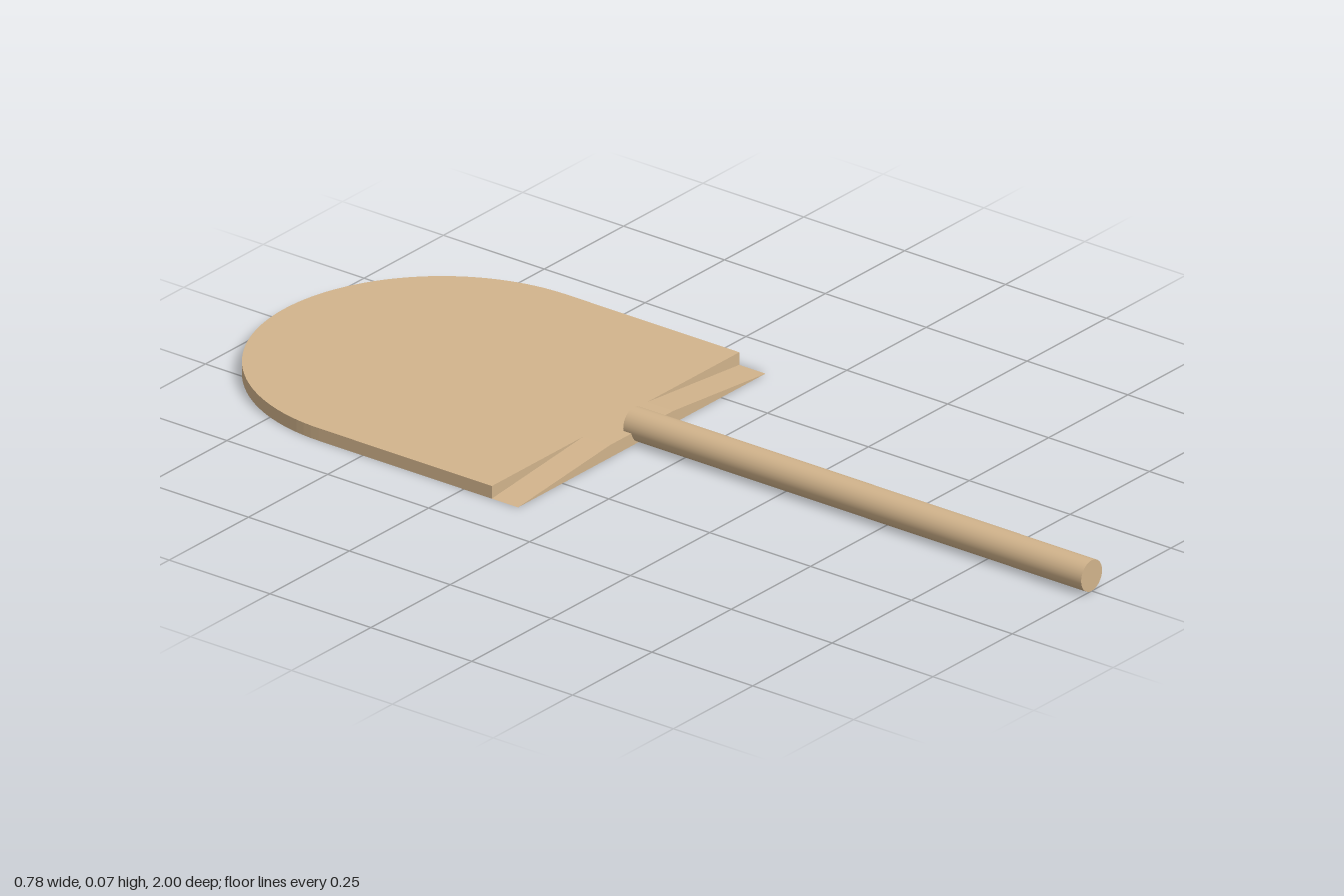
import * as THREE from 'three';

const HALF = 0.39, THICK = 0.027, FRONT = -0.115, STEP = -0.18, ARC = -0.61;
const HANDLE_R = 0.033, HANDLE_END = -0.135;

export function createModel() {
  const group = new THREE.Group();
  const wood = new THREE.MeshStandardMaterial({ color: 0xd2b48c });
  wood.name = 'wood';

  const add = (name, geometry) => {
    const mesh = new THREE.Mesh(geometry, wood);
    mesh.name = name;
    group.add(mesh);
    return mesh;
  };

  // Flat blade with a round far end; shape y becomes -z once laid down
  const outline = new THREE.Shape();
  outline.moveTo(-HALF, -STEP);
  outline.lineTo(HALF, -STEP);
  outline.lineTo(HALF, -ARC);
  outline.absarc(0, -ARC, HALF, 0, Math.PI, false);
  outline.closePath();
  const blade = new THREE.ExtrudeGeometry(outline, { depth: THICK, bevelEnabled: false, curveSegments: 32 });
  blade.rotateX(-Math.PI / 2);
  add('blade', blade);

  // Shoulder strip that slopes down to both sides
  const slope = new THREE.Shape([
    new THREE.Vector2(-HALF, 0),
    new THREE.Vector2(HALF, 0),
    new THREE.Vector2(0.1, THICK),
    new THREE.Vector2(-0.1, THICK),
  ]);
  const shoulder = new THREE.ExtrudeGeometry(slope, { depth: FRONT - STEP, bevelEnabled: false });
  shoulder.translate(0, 0, STEP);
  add('shoulder', shoulder);

  // Round handle
  const length = 1 - HANDLE_END;
  const handle = new THREE.CylinderGeometry(HANDLE_R, HANDLE_R, length, 32);
  handle.rotateX(Math.PI / 2);
  add('handle', handle).position.set(0, HANDLE_R, HANDLE_END + length / 2);

  return group;
}
